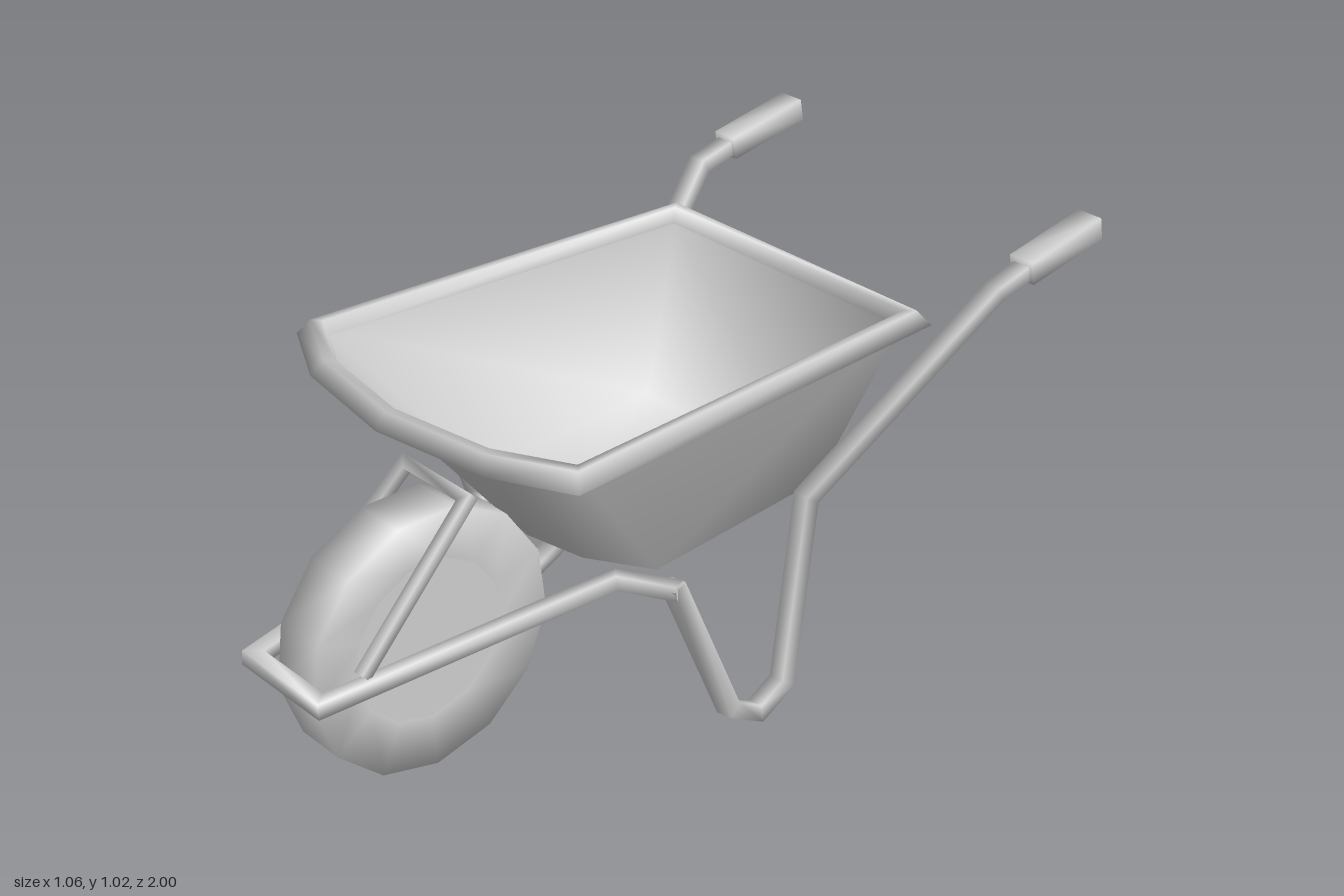
import * as THREE from 'three';

const V = (x, y, z) => new THREE.Vector3(x, y, z);
const grey = new THREE.MeshStandardMaterial({ color: 0xcccccc });
const greyThin = new THREE.MeshStandardMaterial({ color: 0xcccccc, side: THREE.DoubleSide });

// Skin a list of equal-length closed rings; soft caps share vertices for rounded shading
function loft(rings, { capStart = false, capEnd = false, softCaps = false } = {}) {
  const n = rings[0].length, pts = rings.flat(), index = [];
  for (let i = 0; i < rings.length - 1; i++) {
    for (let j = 0; j < n; j++) {
      const k = (j + 1) % n;
      const a = i * n + j, b = i * n + k, c = a + n, d = b + n;
      index.push(a, b, d, a, d, c);
    }
  }
  const cap = (r, flip) => {
    let base = r * n;
    if (!softCaps) { base = pts.length; pts.push(...rings[r]); }
    for (let j = 1; j < n - 1; j++) {
      index.push(base, base + (flip ? j + 1 : j), base + (flip ? j : j + 1));
    }
  };
  if (capStart) cap(0, true);
  if (capEnd) cap(rings.length - 1, false);
  const geo = new THREE.BufferGeometry().setFromPoints(pts);
  geo.setIndex(index);
  geo.computeVertexNormals();
  return geo;
}

// Square bar swept along a polyline with mitred corners; "side" orients the section
function bar(points, side, w, h = w, softCaps = false) {
  const dir = points.slice(1).map((p, i) => p.clone().sub(points[i]).normalize());
  const u = side.clone().addScaledVector(dir[0], -side.dot(dir[0])).normalize();
  const v = dir[0].clone().cross(u);
  let ring = [[1, -1], [1, 1], [-1, 1], [-1, -1]].map(([a, b]) =>
    points[0].clone().addScaledVector(u, a * w / 2).addScaledVector(v, b * h / 2));
  const rings = [ring];
  for (let i = 1; i < points.length; i++) {
    const d = dir[i - 1], plane = d.clone().add(dir[i] || d).normalize();
    ring = ring.map(p => p.clone().addScaledVector(d,
      points[i].clone().sub(p).dot(plane) / d.dot(plane)));
    rings.push(ring);
  }
  return loft(rings, { capStart: true, capEnd: true, softCaps });
}

export function createModel() {
  const group = new THREE.Group();
  const add = (name, geo, mat = grey) => {
    const mesh = new THREE.Mesh(geo, mat);
    mesh.name = name;
    group.add(mesh);
    return mesh;
  };
  const X = V(1, 0, 0), Y = V(0, 1, 0);
  const path = (list, s = 1) => list.map(([x, y, z]) => V(s * x, y, z));
  const mirrored = list => [...path(list), ...path(list, -1).reverse()];

  // Tray outlines: mirrored half profiles, [x, z] from front middle to back
  const outline = half => [...half, ...half.slice(1).reverse().map(([x, z]) => [-x, z])];
  const rimLine = outline([[0, 0.705], [0.30, 0.66], [0.494, 0.56], [0.43, -0.55]]);
  const floorLine = outline([[0, 0.30], [0.16, 0.27], [0.308, 0.18], [0.30, -0.33]]);
  const rimRing = (inset, y) => rimLine.map(([x, z]) =>
    V(x * (1 - inset / 0.49), y, 0.075 + (z - 0.075) * (1 - inset / 0.62)));
  const floorRing = floorLine.map(([x, z]) => V(x, 0.436 + Math.max(0, 0.18 - z) * 0.067, z));

  add('tray', loft([floorRing, rimRing(0.046, 0.865)], { capStart: true, softCaps: true }), greyThin)
    .position.x = -0.012;
  add('trayRim', loft([
    rimRing(0.06, 0.85), rimRing(0, 0.85), rimRing(0.027, 0.887),
    rimRing(0.05, 0.887), rimRing(0.06, 0.85),
  ]), greyThin).position.x = -0.012;

  // Wheel: thirteen-sided tyre with a slightly sunken flat hub
  const tyre = new THREE.LatheGeometry(
    [[0.2, -0.055], [0.326, -0.066], [0.326, 0.066], [0.2, 0.055]]
      .map(([r, y]) => new THREE.Vector2(r, y)), 13, -Math.PI / 2);
  const hub = new THREE.CylinderGeometry(0.2, 0.2, 0.11, 13, 1, false, -Math.PI / 2);
  for (const [name, geo] of [['tyre', tyre], ['wheelHub', hub]]) {
    geo.rotateZ(Math.PI / 2);
    add(name, geo).position.set(0, 0.328, 0.636);
  }

  // Front frame around the wheel, and the brace above it
  add('frontFrame', bar(mirrored([
    [0.386, 0.426, 0.19], [0.24, 0.414, 0.25], [0.126, 0.342, 0.98],
  ]), Y, 0.037));
  add('wheelBrace', bar(mirrored([
    [0.132, 0.375, 0.875], [0.108, 0.68, 0.56],
  ]), X, 0.028));

  // Handles, legs and grips, once per side
  for (const [s, label] of [[1, 'left'], [-1, 'right']]) {
    add(label + 'HandleAndLeg', bar(path([
      [0.495, 0.957, -0.80], [0.495, 0.925, -0.67], [0.362, 0.50, -0.22],
      [0.412, 0.07, -0.11], [0.414, 0.024, -0.025], [0.412, 0.07, 0.06], [0.366, 0.435, 0.195],
    ], s), X, 0.046, 0.038));

    add(label + 'Grip', bar(path([[0.495, 0.951, -0.76], [0.495, 0.995, -0.995]], s),
      X, 0.068, 0.058, true));
  }
  return group;
}
